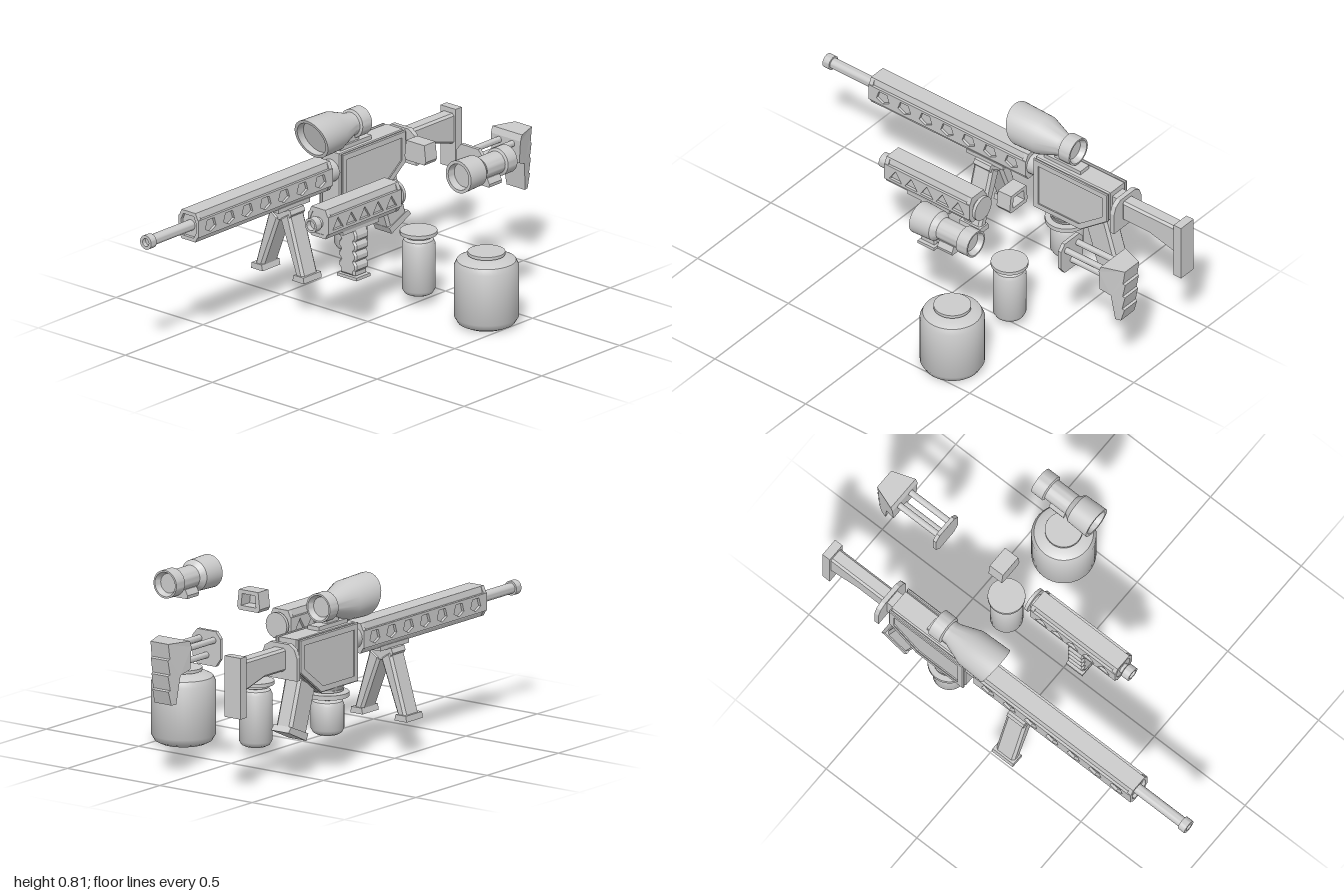
import * as THREE from 'three';
import { toCreasedNormals } from 'three/addons/utils/BufferGeometryUtils.js';

const mat = new THREE.MeshStandardMaterial({ color: 0xcccccc, side: THREE.DoubleSide });

function add(parent, name, geo, x = 0, y = 0, z = 0) {
  const m = new THREE.Mesh(geo, mat);
  m.name = name;
  m.position.set(x, y, z);
  parent.add(m);
  return m;
}
const box = (w, h, d) => new THREE.BoxGeometry(w, h, d);
const toShape = (pts) => new THREE.Shape(pts.map((p) => new THREE.Vector2(...p)));
const mirrorX = (pts) => pts.concat(pts.map(([x, y]) => [-x, y]).reverse());

// outline in x,y pushed along z from z0 to z1
function along(pts, z0, z1, holes = [], bevel = 0) {
  const s = toShape(pts);
  holes.forEach((h) => s.holes.push(toShape(h)));
  const g = new THREE.ExtrudeGeometry(s, {
    depth: z1 - z0 - 2 * bevel, bevelEnabled: bevel > 0, bevelSize: bevel,
    bevelThickness: bevel, bevelOffset: -bevel, bevelSegments: 1,
  });
  return g.translate(0, 0, z0 + bevel);
}
// outline in z,y pushed across x, centred
const across = (pts, w, holes, bevel) => along(pts, -w / 2, w / 2, holes, bevel).rotateY(-Math.PI / 2);
// turned part, profile of [radius, height]
const turned = (pts, seg = 40) =>
  toCreasedNormals(new THREE.LatheGeometry(pts.map((p) => new THREE.Vector2(...p)), seg), 0.6);
const turnedZ = (pts, seg) => turned(pts, seg).rotateX(Math.PI / 2);
// cylinder along z
const rod = (r, z0, z1, seg = 24) => turnedZ([[0, z0], [r, z0], [r, z1], [0, z1]], seg);

function canister(r, y0, y1, capR, capY0, capY1, neckR) {
  const k = Math.min(r * 0.35, 0.04);
  return turned([
    [0, y0], [r - k, y0], [r - 0.4 * k, y0 + 0.3 * k], [r, y0 + k],
    [r, y1 - k], [r - 0.3 * k, y1 - 0.35 * k], [r - k, y1], [neckR, y1 + 0.004],
    [neckR, capY0], [capR, capY0], [capR, capY1], [0, capY1],
  ]);
}

// fore-end: ridged core with pierced side plates
function foreEnd(z0, z1, count, hole) {
  const g = new THREE.Group();
  g.name = 'foreEnd';
  const half = [[0.04, 0.61], [0.046, 0.585], [0.046, 0.495], [0.04, 0.478]];
  add(g, 'foreEndCore', along(mirrorX(half), z0, z1 - 0.015));
  const ring = [[0.04, 0.61], [0.058, 0.572], [0.058, 0.512], [0.04, 0.478]];
  const inner = ring.map(([x, y]) => [x * 0.75, 0.544 + (y - 0.544) * 0.75]);
  for (const z of [z0, z1 - 0.02]) add(g, 'foreEndRim', along(mirrorX(ring), z, z + 0.02, [mirrorX(inner)]));
  const pitch = (z1 - z0 - 0.04) / count;
  const holes = [];
  for (let i = 0; i < count; i++) {
    const c = z0 + 0.02 + pitch * (i + 0.5);
    holes.push(hole.map(([z, y]) => [c + z, y]));
  }
  const plate = [[z0, 0.502], [z1, 0.502], [z1, 0.58], [z0, 0.58]];
  for (const s of [-1, 1]) add(g, 'sidePlate', across(plate, 0.014, holes), s * 0.051);
  return g;
}

function scope(r, tubeR, rear, taperZ, bellZ, front, slant) {
  const geo = turnedZ([
    [0, rear + 0.025], [tubeR * 0.85, rear + 0.025], [tubeR + 0.004, rear], [tubeR + 0.012, rear],
    [tubeR + 0.012, rear + 0.06], [tubeR, rear + 0.065], [tubeR, taperZ], [r - 0.004, bellZ],
    [r, front], [r - 0.014, front], [r - 0.018, front - 0.035], [0, front - 0.035],
  ]);
  const p = geo.attributes.position;
  for (let i = 0; i < p.count; i++) {
    const t = p.getZ(i) > front - 0.04 ? 1 : 0;
    p.setZ(i, p.getZ(i) + t * slant * (p.getY(i) - r));
  }
  geo.computeVertexNormals();
  return toCreasedNormals(geo, 0.6);
}

function rifle() {
  const g = new THREE.Group();
  g.name = 'rifle';
  add(g, 'barrel', rod(0.024, 0.6, 0.98), 0, 0.544);
  add(g, 'muzzle', turnedZ([[0, 0.975], [0.018, 0.975], [0.018, 1], [0.032, 1], [0.032, 0.965], [0.022, 0.965]].reverse()), 0, 0.544);
  g.add(foreEnd(-0.14, 0.725, 7, [[-0.035, 0.53], [0, 0.512], [0.035, 0.53], [0.022, 0.568], [-0.022, 0.568]]));
  add(g, 'foreEndCollar', rod(0.05, -0.2, -0.13), 0, 0.544);

  // receiver with a raised frame on both sides
  const body = [[-0.19, 0.63], [-0.19, 0.37], [-0.45, 0.37], [-0.6, 0.485], [-0.6, 0.63]];
  const panel = [[-0.215, 0.605], [-0.215, 0.395], [-0.44, 0.395], [-0.575, 0.497], [-0.575, 0.605]];
  add(g, 'receiver', across(body, 0.118, [], 0.012));
  for (const s of [-1, 1]) add(g, 'receiverFrame', across(body, 0.014, [panel], 0.004), s * 0.0615);
  add(g, 'magazineSocket', turned([[0, 0.34], [0.06, 0.345], [0.075, 0.375], [0, 0.375]]), 0, 0, -0.32);
  add(g, 'magazine', canister(0.072, 0.155, 0.31, 0.094, 0.322, 0.342, 0.05), 0, 0, -0.32);
  for (const y of [0.335, 0.352]) add(g, 'magazineRib', new THREE.CylinderGeometry(0.07, 0.07, 0.008, 32), 0, y, -0.32);

  // pistol grip
  add(g, 'pistolGrip', across([[-0.45, 0.4], [-0.52, 0.19], [-0.635, 0.235], [-0.565, 0.46]], 0.085, [], 0.012));
  add(g, 'gripCap', across([[-0.515, 0.2], [-0.53, 0.17], [-0.655, 0.228], [-0.635, 0.25]], 0.095));

  // stock
  add(g, 'stockNeck', box(0.07, 0.11, 0.06), 0, 0.55, -0.62);
  add(g, 'stockFlange', along(mirrorX([[0.05, 0.62], [0.08, 0.6], [0.094, 0.565], [0.094, 0.463]]), -0.657, -0.635));
  add(g, 'stockArm', across([[-0.65, 0.6], [-0.65, 0.5], [-0.8, 0.5], [-0.955, 0.46], [-0.955, 0.6]], 0.068, [], 0.01));
  add(g, 'buttPlate', box(0.086, 0.27, 0.04), 0, 0.487, -0.965);

  // scope and mount
  add(g, 'scope', scope(0.092, 0.052, -0.385, -0.3, -0.2, -0.035, 0.33), 0, 0.72);
  add(g, 'scopeRail', box(0.06, 0.02, 0.2), 0, 0.638, -0.32);
  add(g, 'scopeMount', box(0.04, 0.05, 0.08), 0, 0.66, -0.31);

  // bipod
  const bipod = new THREE.Group();
  bipod.name = 'bipod';
  add(bipod, 'bipodRail', box(0.09, 0.02, 0.2), 0, 0.472, 0.095);
  add(bipod, 'bipodHead', along(mirrorX([[0.06, 0.465], [0.068, 0.445], [0.045, 0.41]]), 0.05, 0.14));
  for (const s of [-1, 1]) {
    const flip = (pts) => pts.map(([x, y]) => [s * x, y]);
    add(bipod, 'bipodLeg', along(flip([[0, 0.42], [0.055, 0.455], [0.142, 0.17], [0.095, 0.17]]), 0.045, 0.145, [], 0.012));
    add(bipod, 'bipodFoot', along(flip([[0.086, 0.155], [0.152, 0.155], [0.148, 0.182], [0.092, 0.182]]), 0.038, 0.152));
  }
  g.add(bipod);
  return g;
}

// loose short fore-end with grip, stock, sight and medium canister
function middleKit() {
  const g = new THREE.Group();
  g.name = 'middleKit';
  g.add(foreEnd(-0.145, 0.325, 5, [[-0.034, 0.515], [0.034, 0.515], [0, 0.567]]));
  add(g, 'frontPlate', along(mirrorX([[0.03, 0.6], [0.05, 0.568], [0.05, 0.518], [0.03, 0.488]]), 0.29, 0.322));
  add(g, 'shortMuzzle', turnedZ([[0, 0.32], [0.024, 0.32], [0.024, 0.335], [0.033, 0.34], [0.033, 0.375], [0.022, 0.375], [0.022, 0.35], [0, 0.35]]), 0, 0.544);
  add(g, 'rearNeck', rod(0.035, -0.17, -0.14), 0, 0.544);
  add(g, 'rearDisc', rod(0.057, -0.175, -0.16), 0, 0.544);
  add(g, 'gripRail', box(0.08, 0.02, 0.23), 0, 0.472, 0.095);

  // vertical grip with notched sides
  const edge = [[0.04, 0.465]];
  for (let i = 0; i < 4; i++) {
    const y = 0.45 - i * 0.046;
    edge.push([0.051, y - 0.008], [0.051, y - 0.026], [0.04, y - 0.038]);
  }
  edge.push([0.04, 0.255]);
  add(g, 'verticalGrip', along(mirrorX(edge), 0.055, 0.14, [], 0.008));
  add(g, 'verticalGripFoot', box(0.11, 0.014, 0.09), 0, 0.245, 0.097);

  // skeleton stock
  add(g, 'stockFrontPlate', along(mirrorX([[0.05, 0.62], [0.075, 0.59], [0.075, 0.5], [0.05, 0.465]]), -0.665, -0.648));
  for (const [x, y] of [[-0.038, 0.58], [0.038, 0.58], [0, 0.51]]) add(g, 'stockRod', rod(0.014, -0.9, -0.655, 16), x, y);
  // butt: narrows to the rear and downwards, stepped back face
  const butt = across([
    [-0.88, 0.6], [-0.89, 0.628], [-0.995, 0.628], [-0.985, 0.56], [-0.995, 0.555], [-0.982, 0.49],
    [-0.992, 0.485], [-0.978, 0.42], [-0.988, 0.415], [-0.97, 0.353], [-0.945, 0.353], [-0.93, 0.48], [-0.88, 0.5],
  ], 2);
  const p = butt.attributes.position;
  for (let i = 0; i < p.count; i++) {
    const back = THREE.MathUtils.clamp((-0.89 - p.getZ(i)) / 0.105, 0, 1);
    const low = THREE.MathUtils.clamp((0.6 - p.getY(i)) / 0.25, 0, 1);
    p.setX(i, p.getX(i) * (0.085 - 0.037 * back) * (1 - 0.2 * low));
  }
  butt.computeVertexNormals();
  add(g, 'butt', butt);

  // iron sight: tapered frame closed at the front
  const frame = mirrorX([[0.052, 0.735], [0.061, 0.66], [0.052, 0.645]]);
  add(g, 'sightFrame', along(frame, -0.37, -0.31, [mirrorX([[0.034, 0.718], [0.04, 0.665]])]));
  add(g, 'sightFront', along(frame, -0.31, -0.298));

  add(g, 'mediumCanister', canister(0.072, 0.043, 0.3, 0.081, 0.316, 0.332, 0.06), 0, 0, -0.32);
  return g;
}

// loose large canister and compact scope
function sideKit() {
  const g = new THREE.Group();
  g.name = 'sideKit';
  add(g, 'largeCanister', canister(0.14, 0, 0.308, 0.081, 0.318, 0.332, 0.055), 0, 0, -0.32);
  add(g, 'compactScope', scope(0.073, 0.05, -0.45, -0.27, -0.245, -0.14, 0), 0, 0.72);
  add(g, 'compactScopeMount', along(mirrorX([[0.04, 0.685], [0.053, 0.66], [0.05, 0.645]]), -0.36, -0.28));
  return g;
}

export function createModel() {
  const model = new THREE.Group();
  model.name = 'rifleKit';
  [[rifle(), -0.383], [middleKit(), 0.006], [sideKit(), 0.396]].forEach(([part, x]) => {
    part.position.x = x;
    model.add(part);
  });
  return model;
}
